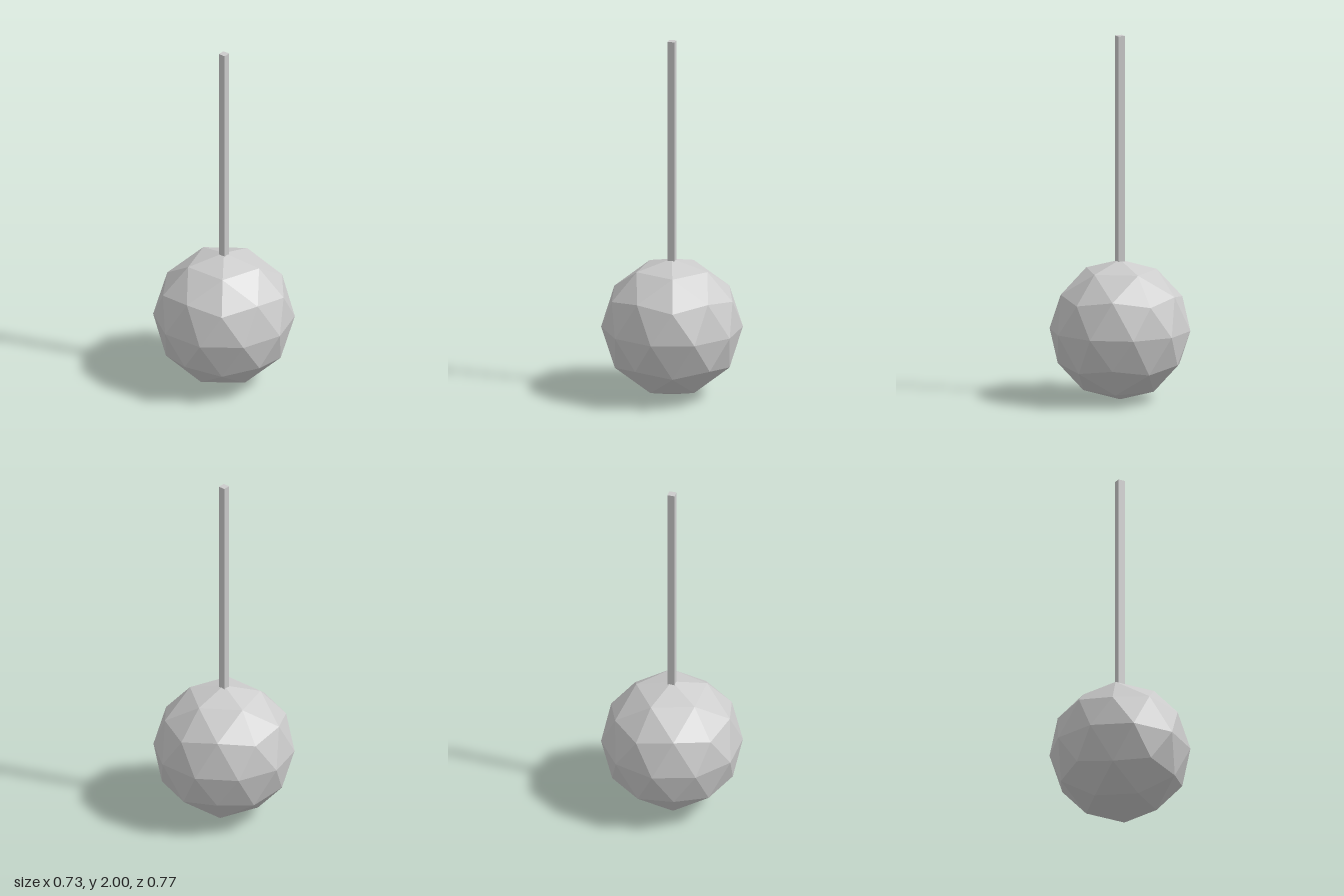
import * as THREE from 'three';

export function createModel() {
  const group = new THREE.Group();
  const material = new THREE.MeshStandardMaterial({ color: 0xcccccc, flatShading: true });
  const radius = 0.384;
  const rodWidth = 0.04, rodBottom = 0.74, rodTop = 2;

  // Faceted ball: icosphere tipped so that one vertex points straight up
  const goldenRatio = (1 + Math.sqrt(5)) / 2;
  const ballGeometry = new THREE.IcosahedronGeometry(radius, 1);
  ballGeometry.rotateZ(-Math.atan(1 / goldenRatio));
  const ball = new THREE.Mesh(ballGeometry, material);
  ball.name = 'ball';
  ball.position.y = radius;
  group.add(ball);

  // Thin square rod, its foot sunk into the top of the ball
  const rod = new THREE.Mesh(new THREE.BoxGeometry(rodWidth, rodTop - rodBottom, rodWidth), material);
  rod.name = 'rod';
  rod.position.y = (rodTop + rodBottom) / 2;
  group.add(rod);

  return group;
}
